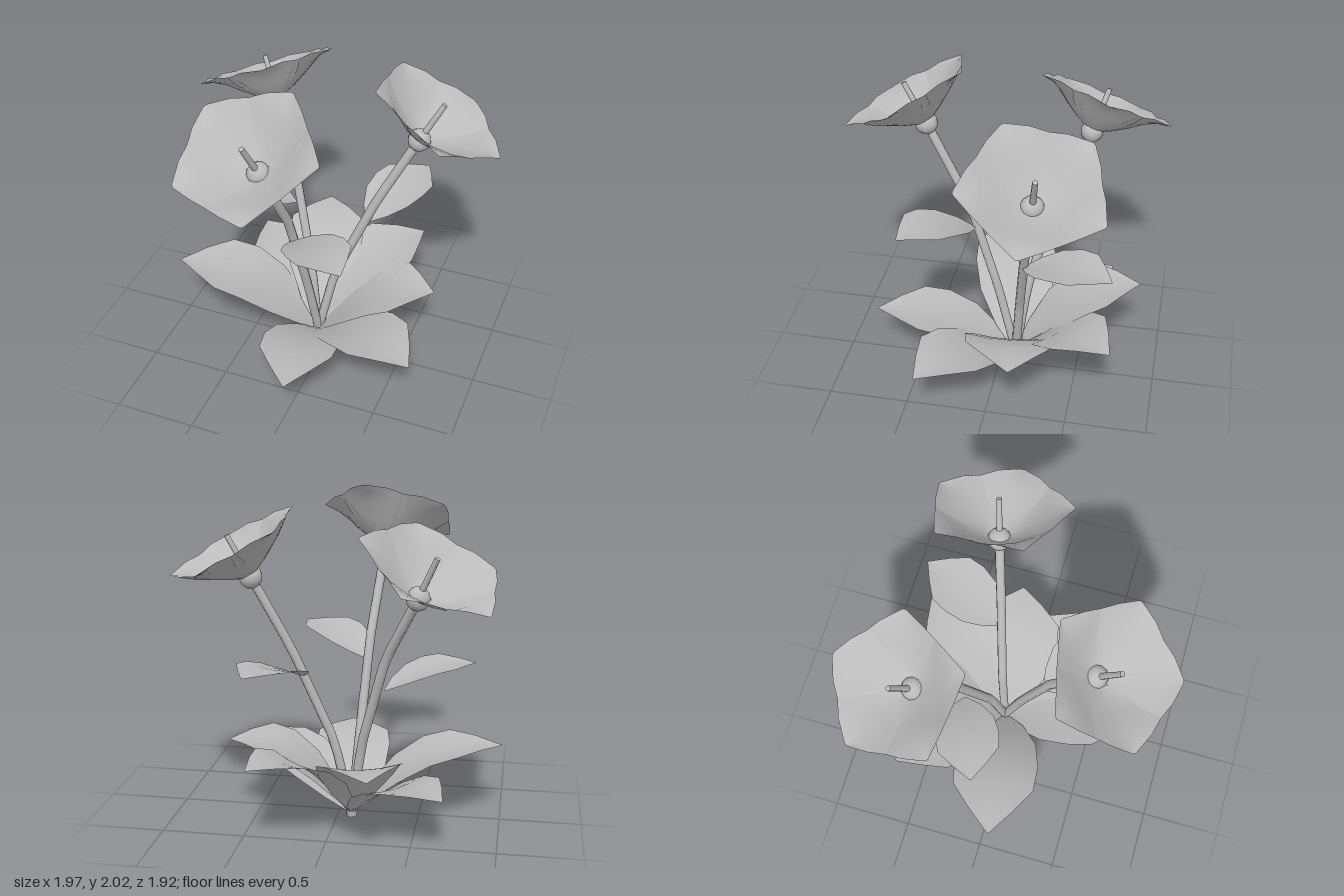
import * as THREE from 'three';

const V = (x, y, z) => new THREE.Vector3(x, y, z);
const UP = V(0, 1, 0);
const grey = new THREE.MeshStandardMaterial({ color: 0xbbbbbb, side: THREE.DoubleSide });
grey.name = 'paleGrey';

// linear lookup in a short profile of [t, value, ...] rows
function sample(profile, t, k) {
  let i = 1;
  while (i < profile.length - 1 && profile[i][0] < t) i++;
  const a = profile[i - 1], b = profile[i];
  return THREE.MathUtils.mapLinear(t, a[0], b[0], a[k], b[k]);
}

// open sheet: one cross-section of (cols + 1) points for every t in ts
function sheet(ts, cols, point) {
  const pos = [], index = [];
  ts.forEach((t, i) => {
    for (let j = 0; j <= cols; j++) {
      pos.push(...point(t, (j / cols) * 2 - 1).toArray());
      if (i && j) {
        const d = i * (cols + 1) + j, c = d - 1, b = d - cols - 1, a = b - 1;
        index.push(a, c, b, b, c, d);
      }
    }
  });
  const g = new THREE.BufferGeometry();
  g.setAttribute('position', new THREE.Float32BufferAttribute(pos, 3));
  g.setIndex(index);
  g.computeVertexNormals();
  return g;
}

function add(parent, geometry, name) {
  const mesh = new THREE.Mesh(geometry, grey);
  mesh.name = name;
  parent.add(mesh);
  return mesh;
}

// along the leaf: share of length, share of rise, share of half width
const LEAF = [[0, 0, 0.05], [0.12, 0.27, 0.5], [0.3, 0.6, 0.88], [0.5, 0.85, 1],
  [0.68, 0.96, 0.95], [0.84, 1, 0.52], [1, 1, 0.02]];

function leafGeometry(base, tip, halfWidth) {
  const run = V(tip.x - base.x, 0, tip.z - base.z);
  const side = run.clone().normalize().cross(UP);
  return sheet(LEAF.map(r => r[0]), 4, (t, v) => {
    const w = sample(LEAF, t, 2) * halfWidth;
    const p = base.clone().addScaledVector(run, t).addScaledVector(side, v * w);
    p.y += (tip.y - base.y) * sample(LEAF, t, 1) + v * v * w * 0.13;
    return p;
  });
}

// along the petal: t, radius from axis, height on axis, half width
const PETAL = [[0, 0.04, 0.01, 0.025], [0.25, 0.12, 0.05, 0.1], [0.5, 0.205, 0.105, 0.185],
  [0.7, 0.285, 0.165, 0.225], [0.86, 0.36, 0.2, 0.13], [1, 0.435, 0.215, 0.01]];

function petalGeometry() {
  return sheet(PETAL.map(r => r[0]), 4, (t, v) => {
    const w = sample(PETAL, t, 3);
    return V(sample(PETAL, t, 1), sample(PETAL, t, 2) + v * v * w * 0.22, v * w);
  });
}

function createFlower(axis) {
  const flower = new THREE.Group();
  flower.name = 'flower';
  const petal = petalGeometry();
  for (let i = 0; i < 5; i++) {
    add(flower, petal, 'petal').rotation.y = (i * Math.PI * 2) / 5;
  }
  add(flower, new THREE.SphereGeometry(0.07, 12, 8), 'bulb');
  add(flower, new THREE.CylinderGeometry(0.016, 0.02, 0.28, 8), 'pistil').position.y = 0.14;
  // tilt so the first petal points towards +x
  const y = axis.clone().normalize();
  const z = V(1, 0, 0).cross(y).normalize();
  const x = y.clone().cross(z);
  flower.quaternion.setFromRotationMatrix(new THREE.Matrix4().makeBasis(x, y, z));
  return flower;
}

export function createModel() {
  const model = new THREE.Group();
  model.name = 'floweringPlant';

  // root
  const root = V(-0.09, 0.02, -0.09);
  add(model, new THREE.CylinderGeometry(0.038, 0.032, 0.04, 8), 'root').position.copy(root);

  // rosette of ground leaves
  const rosette = new THREE.Group();
  rosette.name = 'rosette';
  model.add(rosette);
  [
    [V(-1, 0.46, 0.07), 0.27], [V(-0.29, 0.53, -0.86), 0.25], [V(0.42, 0.51, -0.74), 0.25],
    [V(0.66, 0.49, -0.17), 0.29], [V(0.68, 0.36, 0.4), 0.25], [V(0.03, 0.34, 0.8), 0.24],
    [V(-0.69, 0.36, -0.65), 0.23],
  ].forEach(([tip, w]) => add(rosette, leafGeometry(root, tip, w), 'groundLeaf'));

  // three stems, each with one leaf and one flower
  const stalks = [
    { path: [V(-0.16, 0.5, -0.15), V(-0.315, 1.07, -0.29)], head: V(-0.52, 1.485, -0.48),
      axis: V(-0.39, 0.87, -0.3), leaf: [V(-0.31, 0.88, -0.27), V(-0.83, 1.02, -0.07)] },
    { path: [V(0.01, 0.5, -0.13), V(0.255, 1.09, -0.2)], head: V(0.48, 1.535, -0.27),
      axis: V(0.46, 0.87, -0.12), leaf: [V(0.2, 0.92, -0.18), V(0.43, 1.05, -0.73)] },
    { path: [V(-0.12, 0.5, 0.03), V(-0.16, 1.1, 0.22)], head: V(-0.215, 1.61, 0.49),
      axis: V(-0.11, 0.86, 0.5), leaf: [V(-0.15, 0.94, 0.19), V(0.3, 1.09, 0.57)] },
  ];
  for (const { path, head, axis, leaf } of stalks) {
    const stalk = new THREE.Group();
    stalk.name = 'floweringStalk';
    // zero tension keeps the stem straight between its bends
    const curve = new THREE.CatmullRomCurve3([root, ...path, head], false, 'catmullrom', 0);
    add(stalk, new THREE.TubeGeometry(curve, 12, 0.029, 8), 'stem');
    add(stalk, leafGeometry(leaf[0], leaf[1], 0.19), 'stemLeaf');
    const flower = createFlower(axis);
    flower.position.copy(head);
    stalk.add(flower);
    model.add(stalk);
  }
  return model;
}
